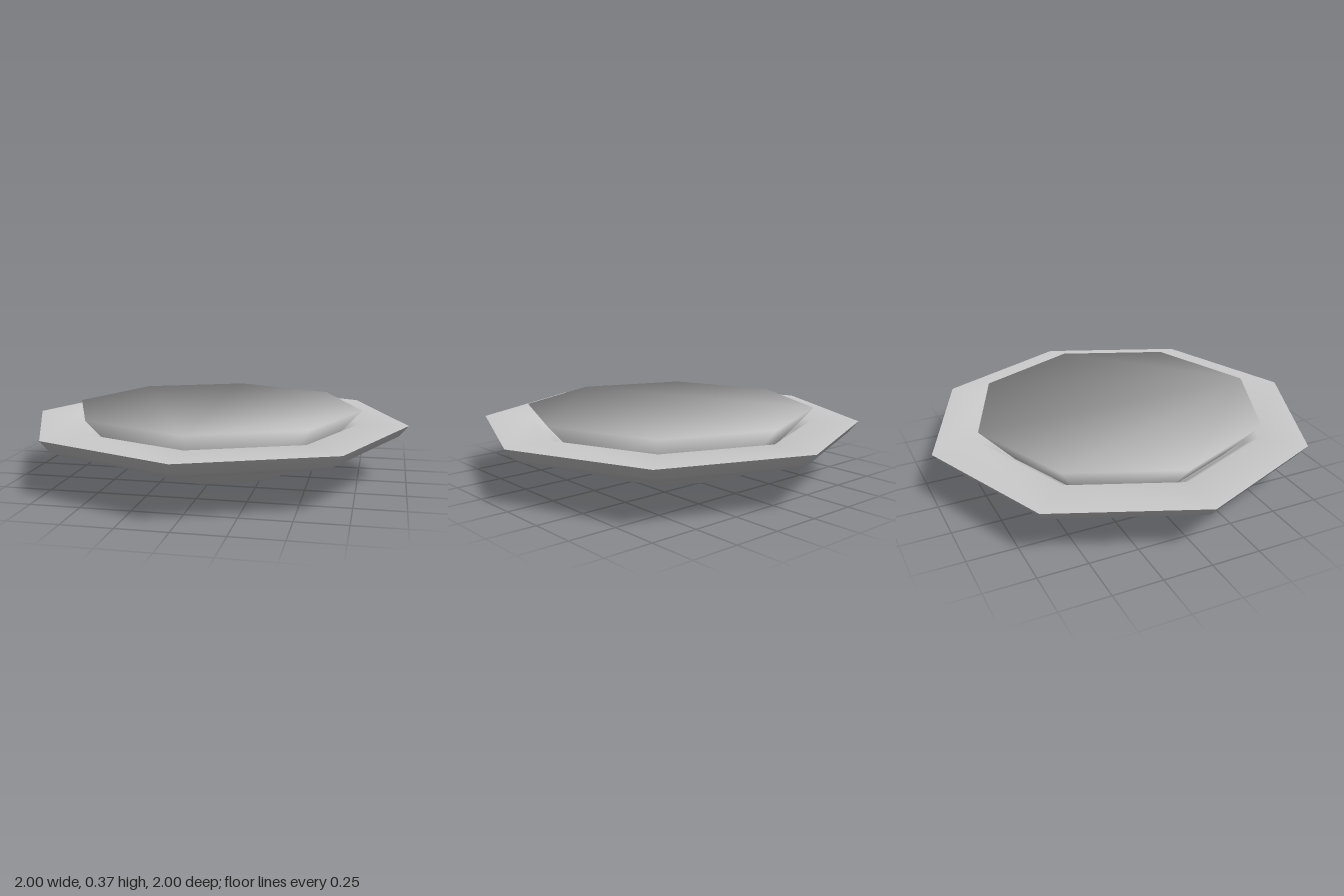
import * as THREE from 'three';

const SIDES = 8;

// Smooth-shaded octagonal surface of revolution
function revolve(name, profile, material) {
  const points = profile.map(([r, y]) => new THREE.Vector2(r, y));
  const mesh = new THREE.Mesh(new THREE.LatheGeometry(points, SIDES), material);
  mesh.name = name;
  return mesh;
}

// Octagonal plug: flat fan on top and a tapering wall, with normals shared at the rim
function taperedPlug(top, bottom) {
  const position = [], normal = [], index = [];
  for (const { r, y, out, up } of [top, bottom]) {
    for (let i = 0; i < SIDES; i++) {
      const a = (i / SIDES) * Math.PI * 2;
      const s = Math.sin(a), c = Math.cos(a);
      position.push(r * s, y, r * c);
      normal.push(out * s, up, out * c);
    }
  }
  for (let i = 0; i < SIDES; i++) {
    const j = (i + 1) % SIDES;
    if (i > 0 && j > 0) index.push(0, i, j);
    index.push(i, i + SIDES, j, j, i + SIDES, j + SIDES);
  }
  const g = new THREE.BufferGeometry();
  g.setAttribute('position', new THREE.Float32BufferAttribute(position, 3));
  g.setAttribute('normal', new THREE.Float32BufferAttribute(normal, 3));
  g.setIndex(index);
  return g;
}

export function createModel() {
  const model = new THREE.Group();
  model.name = 'dish';
  const grey = new THREE.MeshStandardMaterial({ color: 0xcccccc });
  grey.name = 'light grey';

  // Outer shell: rounded base, flared shoulder and raised lip
  model.add(revolve('dishUnderside', [
    [0, 0], [0.18, 0], [0.39, 0.04], [0.5, 0.08], [0.58, 0.13],
    [0.67, 0.18], [0.79, 0.215], [0.9, 0.215], [0.955, 0.245], [1, 0.3],
  ], grey));

  // Flat rim and the well inside it
  model.add(revolve('dishRimAndWell', [
    [1, 0.3], [0.75, 0.3], [0.68, 0.25], [0.55, 0.15], [0.35, 0.08], [0, 0.05],
  ], grey));

  // Filling that stands in the well and flares out above the rim
  const filling = new THREE.Mesh(taperedPlug(
    { r: 0.763, y: 0.37, out: 0.95, up: 0.31 },
    { r: 0.55, y: 0.14, out: 0.7, up: -0.71 },
  ), grey);
  filling.name = 'filling';
  model.add(filling);

  return model;
}
